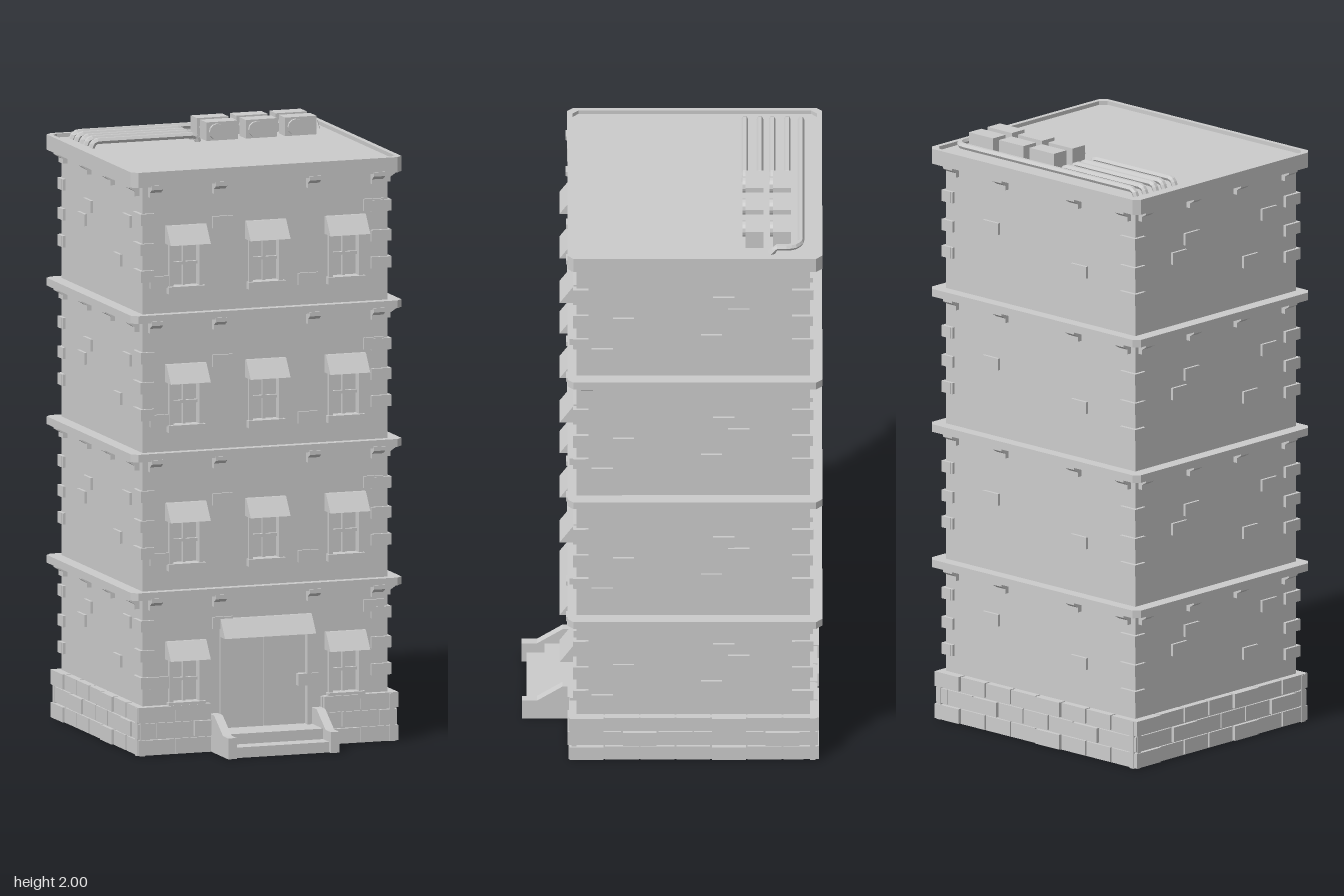
import * as THREE from 'three';

const mat = new THREE.MeshStandardMaterial({ color: 0xcccccc, flatShading: true, side: THREE.DoubleSide });
const FLOOR = 0.463, HX = 0.43, HZ = 0.385, CZ = -0.07, T = 0.03;

function add(parent, name, geo, x = 0, y = 0, z = 0) {
  const m = new THREE.Mesh(geo, mat);
  m.name = name;
  m.position.set(x, y, z);
  parent.add(m);
  return m;
}
const box = (parent, name, w, h, d, x, y, z) => add(parent, name, new THREE.BoxGeometry(w, h, d), x, y, z);

// Side profile given as [outward, up] points, swept across a width along x
function sweep(points, width) {
  const shape = new THREE.Shape(points.map(p => new THREE.Vector2(...p)));
  const g = new THREE.ExtrudeGeometry(shape, { depth: width, bevelEnabled: false });
  return g.rotateY(-Math.PI / 2).translate(width / 2, 0, 0);
}

// Rectangle with chamfered corners
function chamfered(Cls, hx, hz, c) {
  const s = new Cls();
  s.moveTo(-hx + c, -hz);
  [[hx - c, -hz], [hx, -hz + c], [hx, hz - c], [hx - c, hz], [-hx + c, hz], [-hx, hz - c], [-hx, -hz + c]]
    .forEach(p => s.lineTo(...p));
  s.closePath();
  return s;
}
function plate(hx, hz, c, h, hole) {
  const s = chamfered(THREE.Shape, hx, hz, c);
  if (hole) s.holes.push(chamfered(THREE.Path, hx - hole, hz - hole, c));
  return new THREE.ExtrudeGeometry(s, { depth: h, bevelEnabled: false }).rotateX(-Math.PI / 2);
}

// Rectangular opening
function opening(x0, x1, y0, y1) {
  return new THREE.Path([[x0, y0], [x0, y1], [x1, y1], [x1, y0]].map(p => new THREE.Vector2(...p)));
}

const WINDOWS = [];
for (let f = 0; f < 4; f++) for (const x of [-0.28, 0, 0.28]) {
  if (f || x) WINDOWS.push([x, 0.315 + f * FLOOR]);
}

function addWindow(side, x, top) {
  const w = new THREE.Group();
  w.name = 'window';
  w.position.set(x, top, HZ);
  side.add(w);
  box(w, 'windowPane', 0.12, 0.17, 0.006, 0, -0.07, -0.024);
  for (const s of [-1, 1]) box(w, 'windowJamb', 0.014, 0.15, 0.035, s * 0.053, -0.07, -0.006);
  box(w, 'windowMullion', 0.01, 0.15, 0.014, 0, -0.07, -0.016);
  box(w, 'windowRail', 0.1, 0.01, 0.014, 0, -0.07, -0.016);
  box(w, 'windowSill', 0.13, 0.024, 0.05, 0, -0.155, -0.002);
  add(w, 'awning', sweep([[-0.01, 0], [0.055, 0], [0.012, 0.06], [-0.01, 0.06]], 0.14));
}

function addEntrance(side) {
  const e = new THREE.Group();
  e.name = 'entrance';
  e.position.z = HZ;
  side.add(e);
  for (const s of [-1, 1]) {
    box(e, 'doorLeaf', 0.146, 0.33, 0.012, s * 0.074, 0.225, -0.022);
    box(e, 'doorJamb', 0.014, 0.33, 0.036, s * 0.153, 0.225, -0.008);
    add(e, 'stairWall', sweep([[-0.01, 0], [0.18, 0], [0.18, 0.07], [0.13, 0.07], [0.045, 0.125], [-0.01, 0.125]], 0.03), s * 0.18);
  }
  box(e, 'upperStep', 0.33, 0.035, 0.135, 0, 0.0525, 0.0375);
  box(e, 'lowerStep', 0.33, 0.035, 0.195, 0, 0.0175, 0.0675);
  add(e, 'doorAwning', sweep([[-0.01, 0], [0.055, 0], [0.012, 0.06], [-0.01, 0.06]], 0.32), 0, 0.38);
}

// Staggered base courses; the bricks also poke through to the inside
function addBase(side, half, dist, isFront) {
  const L = half + 0.026, spans = isFront ? [[-L, -0.195], [0.195, L]] : [[-L, L]];
  for (const [a, b] of spans) {
    box(side, 'baseCourse', b - a, 0.16, 0.018, (a + b) / 2, 0.08, dist + 0.008);
    for (let row = 0; row < 3; row++) {
      const n = Math.max(2, Math.round((b - a) / 0.115)), w = (b - a) / n;
      for (let i = 0; i <= n; i++) {
        const x0 = Math.max(a, a + (i - (row % 2) / 2) * w), x1 = Math.min(b, a + (i + 1 - (row % 2) / 2) * w);
        if (x1 - x0 < 0.02) continue;
        const out = (i * 3 + row * 2) % 4 === 0 ? 0.03 : 0.024, inner = (i + row) % 2 ? 0.06 : 0.035;
        box(side, 'baseBrick', x1 - x0 - 0.006, 0.05, out + inner, (x0 + x1) / 2, 0.0275 + row * 0.055, dist + (out - inner) / 2);
      }
    }
  }
}

// Loose raised bricks on each storey: [position along wall, height in storey]
const BRICKS = {
  front: [[-0.15, 0.33], [-0.37, 0.12], [0.15, 0.1], [0.38, 0.36]],
  right: [[-0.23, 0.23], [0.06, 0.16], [0.15, 0.27], [0.1, 0.32], [-0.3, 0.1]],
  back: [[-0.22, 0.28], [0.18, 0.2]],
  left: [[-0.18, 0.26], [-0.12, 0.32], [0.16, 0.17], [0.25, 0.33]],
};

export function createModel() {
  const root = new THREE.Group();
  root.name = 'apartmentBuilding';
  const body = new THREE.Group();
  body.name = 'body';
  body.position.z = CZ;
  root.add(body);

  // Four facades, each built facing its own +z
  ['front', 'right', 'back', 'left'].forEach((name, k) => {
    const side = new THREE.Group();
    side.name = name + 'Facade';
    side.rotation.y = k * Math.PI / 2;
    body.add(side);
    const along = k % 2, half = along ? HZ : HX, dist = along ? HX : HZ;

    const wall = new THREE.Shape([[-half, 0], [half, 0], [half, 1.9], [-half, 1.9]].map(p => new THREE.Vector2(...p)));
    if (k === 0) {
      for (const [x, y] of WINDOWS) wall.holes.push(opening(x - 0.057, x + 0.057, y - 0.15, y + 0.005));
      wall.holes.push(opening(-0.155, 0.155, 0.06, 0.39));
    }
    add(side, name + 'Wall', new THREE.ExtrudeGeometry(wall, { depth: T, bevelEnabled: false }), 0, 0, dist - T);
    addBase(side, half, dist, k === 0);
    if (k === 0) {
      WINDOWS.forEach(([x, y]) => addWindow(side, x, y));
      addEntrance(side);
    }

    for (let f = 0; f < 4; f++) {
      const top = f === 3 ? 1.905 : 0.525 + f * FLOOR;
      // Cornice brackets
      for (const u of along ? [-0.35, -0.12, 0.105, 0.335] : [-0.39, -0.165, 0.165, 0.39]) {
        add(side, 'corniceBracket', sweep([[-0.01, 0], [0.035, 0], [0.035, -0.014], [0.016, -0.026], [0.016, -0.042], [-0.01, -0.042]], 0.04), u, top, dist);
      }
      // Raised bricks
      for (const [u, h] of BRICKS[name]) {
        box(side, 'raisedBrick', 0.07, 0.04, 0.05, u, (f ? 0.08 : 0.13) + h * 0.9 + f * FLOOR, dist - 0.016);
      }
      // Corner bricks wrapping the edge
      [0.24, 0.33, 0.43].forEach((h, i) => {
        box(side, 'cornerBrick', 0.07, 0.038, 0.05, half - 0.025, h + f * FLOOR - (f ? 0.03 : 0), dist - 0.014);
        if (i !== 1) box(side, 'cornerBrick', 0.04, 0.038, 0.05, -half + 0.01, h + f * FLOOR - (f ? 0.03 : 0), dist - 0.014);
      });
    }
  });

  // Floor cornices and roof
  for (let f = 0; f < 3; f++) {
    add(body, 'floorCornice', plate(0.475, 0.42, 0.02, 0.026), 0, 0.52 + f * FLOOR, -0.005);
  }
  add(body, 'roofSlab', plate(0.475, 0.42, 0.02, 0.038), 0, 1.9, -0.005);
  add(body, 'roofRim', plate(0.475, 0.42, 0.02, 0.014, 0.017), 0, 1.937, -0.005);

  // Rooftop pipes with ends bent down to the roof
  const roof = new THREE.Group();
  roof.name = 'roofEquipment';
  root.add(roof);
  function pipe(points) {
    const path = new THREE.CurvePath(), v = points.map(p => new THREE.Vector3(...p));
    for (let i = 1; i < v.length; i++) path.add(new THREE.LineCurve3(v[i - 1], v[i]));
    add(roof, 'roofPipe', new THREE.TubeGeometry(path, 60, 0.011, 6));
  }
  const Y = 1.961, LOW = 1.938;
  for (const z of [-0.38, -0.33, -0.29, -0.24]) {
    pipe([[-0.405, LOW, z], [-0.398, 1.955, z], [-0.385, Y, z], [-0.05, Y, z], [-0.037, 1.955, z], [-0.03, LOW, z]]);
  }
  pipe([[-0.405, LOW, -0.425], [-0.398, 1.955, -0.425], [-0.385, Y, -0.425], [0.385, Y, -0.425], [0.41, Y, -0.41],
    [0.419, Y, -0.385], [0.419, Y, -0.345], [0.419, LOW, -0.325]]);

  // Air conditioners with a round fan on the front
  for (const x of [0.055, 0.193, 0.331]) for (const z of [-0.362, -0.272]) {
    box(roof, 'airConditioner', 0.11, 0.065, 0.06, x, 1.9675, z);
    add(roof, 'fan', new THREE.CylinderGeometry(0.027, 0.027, 0.012, 12).rotateX(Math.PI / 2), x - 0.02, 1.968, z + 0.034);
  }
  return root;
}
